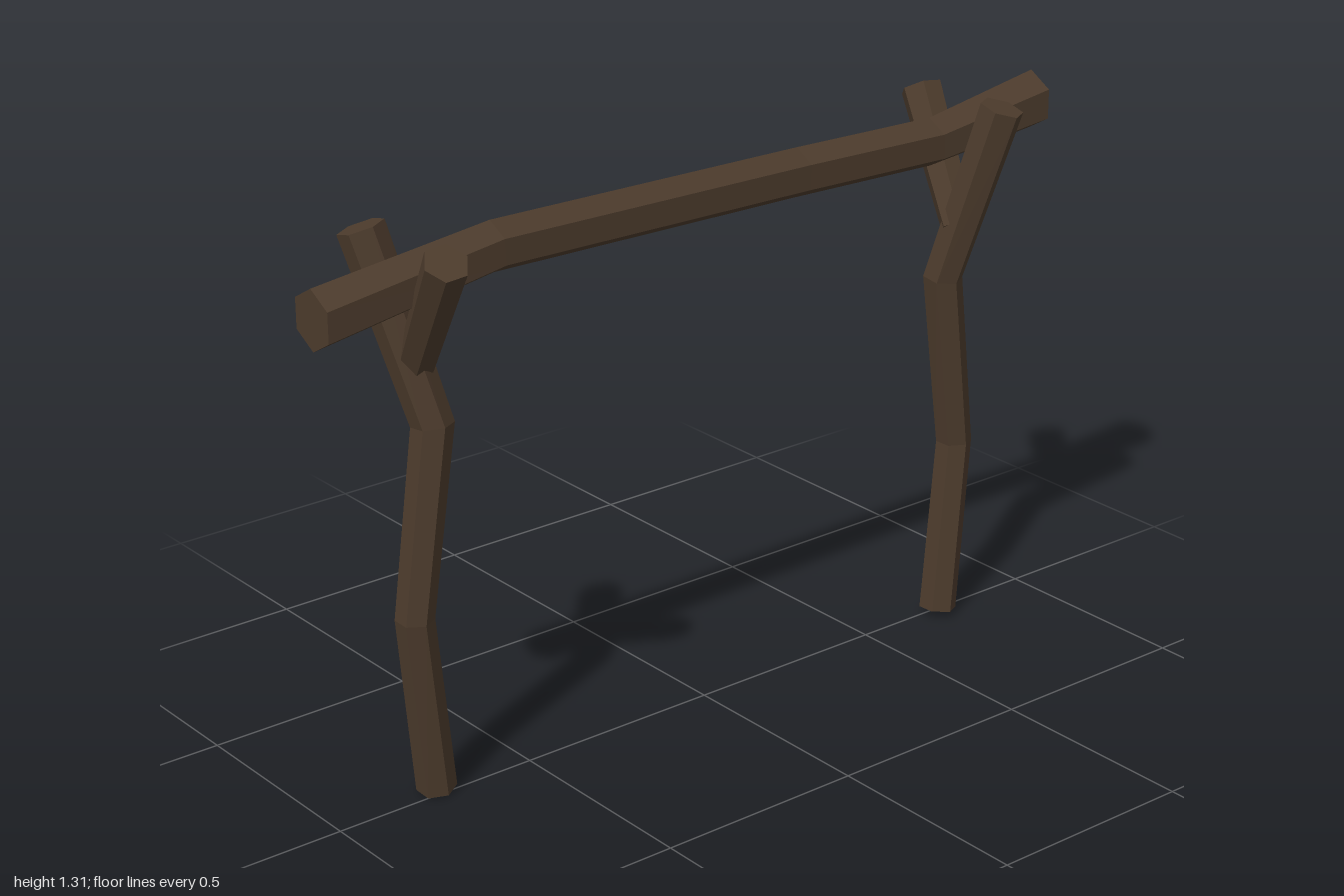
import * as THREE from 'three';

const bark = new THREE.MeshStandardMaterial({ color: 0x4c3b2c, flatShading: true });
bark.name = 'dark bark';

// Crooked six-sided log swept through points [x, y, z, radius]; ref is the direction of one corner.
function log(name, points, ref, endNormal) {
  const sides = 6;
  const centres = points.map(p => new THREE.Vector3(p[0], p[1], p[2]));
  const dir = i => centres[i + 1].clone().sub(centres[i]).normalize();
  const last = centres.length - 1;
  const rings = centres.map((c, i) => {
    const t = new THREE.Vector3();
    if (i > 0) t.add(dir(i - 1));
    if (i < last) t.add(dir(i));
    if (endNormal && (i === 0 || i === last)) t.copy(endNormal);
    t.normalize();
    const u = ref.clone().addScaledVector(t, -ref.dot(t)).normalize();
    const v = t.clone().cross(u);
    return Array.from({ length: sides }, (_, j) => {
      const a = j / sides * Math.PI * 2;
      return c.clone().addScaledVector(u, Math.cos(a) * points[i][3])
        .addScaledVector(v, Math.sin(a) * points[i][3]);
    });
  });
  const pos = [];
  const tri = (...vs) => vs.forEach(p => pos.push(p.x, p.y, p.z));
  for (let j = 0; j < sides; j++) {
    const k = (j + 1) % sides;
    for (let i = 0; i < last; i++) {
      tri(rings[i][j], rings[i][k], rings[i + 1][k]);
      tri(rings[i][j], rings[i + 1][k], rings[i + 1][j]);
    }
    // end caps
    tri(centres[0], rings[0][k], rings[0][j]);
    tri(centres[last], rings[last][j], rings[last][k]);
  }
  const geo = new THREE.BufferGeometry();
  geo.setAttribute('position', new THREE.Float32BufferAttribute(pos, 3));
  geo.computeVertexNormals();
  const mesh = new THREE.Mesh(geo, bark);
  mesh.name = name;
  return mesh;
}

export function createModel() {
  const group = new THREE.Group();
  group.name = 'forkedPoleRack';
  const X = new THREE.Vector3(1, 0, 0);
  const Y = new THREE.Vector3(0, 1, 0);
  const Z = new THREE.Vector3(0, 0, 1);

  // Long beam resting in the two forks
  group.add(log('crossBeam', [
    [-0.013, 1.16, 1, 0.068],
    [0.006, 1.228, 0.57, 0.058],
    [-0.02, 1.207, -0.28, 0.058],
    [-0.015, 1.2, -0.68, 0.058],
    [-0.015, 1.243, -1, 0.07],
  ], Y, Z.clone().negate()));

  // Front forked post
  group.add(log('frontPost', [
    [-0.022, 0.01, 0.735, 0.045],
    [0, 0.44, 0.79, 0.043],
    [0, 0.87, 0.728, 0.047],
    [-0.115, 1.29, 0.81, 0.052],
  ], X));
  group.add(log('frontBranch', [
    [-0.03, 1.0, 0.745, 0.042],
    [0.155, 1.28, 0.787, 0.05],
  ], Z));

  // Rear forked post
  group.add(log('rearPost', [
    [0.018, 0.02, -0.718, 0.045],
    [0, 0.44, -0.772, 0.043],
    [0.005, 0.87, -0.715, 0.047],
    [0.11, 1.29, -0.785, 0.052],
  ], X));
  group.add(log('rearBranch', [
    [0.035, 1.0, -0.73, 0.042],
    [-0.155, 1.28, -0.78, 0.05],
  ], Z));

  return group;
}
